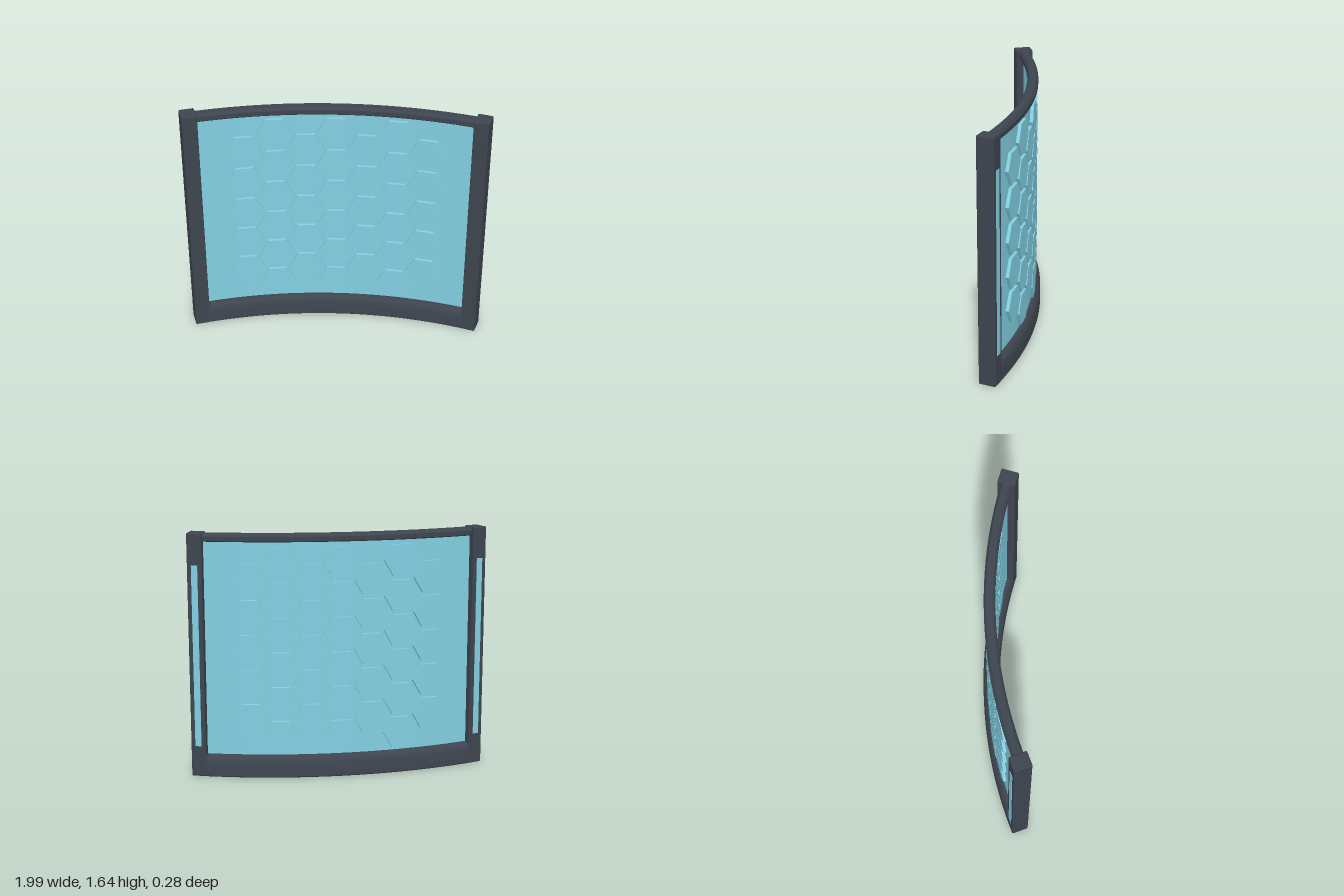
import * as THREE from 'three';
import { toCreasedNormals } from 'three/addons/utils/BufferGeometryUtils.js';
import { RoundedBoxGeometry } from 'three/addons/geometries/RoundedBoxGeometry.js';

const R = 3;              // radius of the curved wall
const AXIS_Z = 2.92;      // z of the axis the wall bends around
const HEIGHT = 1.64;
const POST_ANGLE = 0.316; // where the posts stand on the arc
const SWEEP = 0.306;      // half angle of rails and panel

const frameMat = new THREE.MeshStandardMaterial({ color: 0x3e454f });
const glassMat = new THREE.MeshStandardMaterial({ color: 0x83d0e2 });
const hexMat = new THREE.MeshStandardMaterial({ color: 0x83d0e2, flatShading: true });

// Sweeps a closed profile of [radial offset, y] along the arc; + offset is the back
function arcSweep(name, profile, material) {
  const pts = [...profile, profile[0]].map(([r, y]) => new THREE.Vector2(R + r, y));
  const geo = new THREE.LatheGeometry(pts, 48, Math.PI - SWEEP, 2 * SWEEP);
  const mesh = new THREE.Mesh(toCreasedNormals(geo, 0.4), material);
  mesh.name = name;
  mesh.position.z = AXIS_Z;
  return mesh;
}

// Group turned about the wall axis; its children sit at z = -R
function onArc(name, angle) {
  const pivot = new THREE.Group();
  pivot.name = name;
  pivot.position.z = AXIS_Z;
  pivot.rotation.y = -angle;
  return pivot;
}

export function createModel() {
  const model = new THREE.Group();
  model.name = 'curvedBarrier';

  // Curved panel
  model.add(arcSweep('panel', [[-0.01, 0.1], [0.01, 0.1], [0.01, 1.61], [-0.01, 1.61]], glassMat));

  // Bottom and top rails with chamfered edges
  model.add(arcSweep('bottomRail', [
    [-0.052, 0], [0.052, 0], [0.058, 0.006], [0.058, 0.105], [0.05, 0.128], [0.032, 0.148],
    [-0.032, 0.148], [-0.05, 0.128], [-0.058, 0.105], [-0.058, 0.006],
  ], frameMat));
  model.add(arcSweep('topRail', [
    [-0.03, 1.582], [0.03, 1.582], [0.036, 1.588], [0.036, 1.617], [0.022, 1.636],
    [-0.022, 1.636], [-0.036, 1.617], [-0.036, 1.588],
  ], frameMat));

  // End posts, each with a light strip on its back face
  const postGeo = new RoundedBoxGeometry(0.1, HEIGHT, 0.116, 2, 0.008);
  const stripGeo = new THREE.BoxGeometry(0.042, 1.22, 0.01);
  for (const side of [-1, 1]) {
    const post = onArc(side > 0 ? 'leftPost' : 'rightPost', side * POST_ANGLE);
    const body = new THREE.Mesh(postGeo, frameMat);
    body.name = 'postBody';
    body.position.set(0, HEIGHT / 2, -R);
    const strip = new THREE.Mesh(stripGeo, glassMat);
    strip.name = 'lightStrip';
    strip.position.set(0, HEIGHT / 2, -R - 0.056);
    post.add(body, strip);
    model.add(post);
  }

  // Hexagonal plates, raised on both faces of the panel
  const hexGeo = new THREE.CylinderGeometry(0.12, 0.12, 0.06, 6).rotateY(Math.PI / 6).rotateX(Math.PI / 2);
  for (let col = -3; col <= 3; col++) {
    const column = onArc('hexColumn', Math.asin(col * 0.2 / R));
    const count = col % 2 ? 5 : 6;
    for (let i = 0; i < count; i++) {
      const hex = new THREE.Mesh(hexGeo, hexMat);
      hex.name = 'hexPlate';
      hex.position.set(0, 0.861 + (i - (count - 1) / 2) * 0.234, -R);
      column.add(hex);
    }
    model.add(column);
  }
  return model;
}
